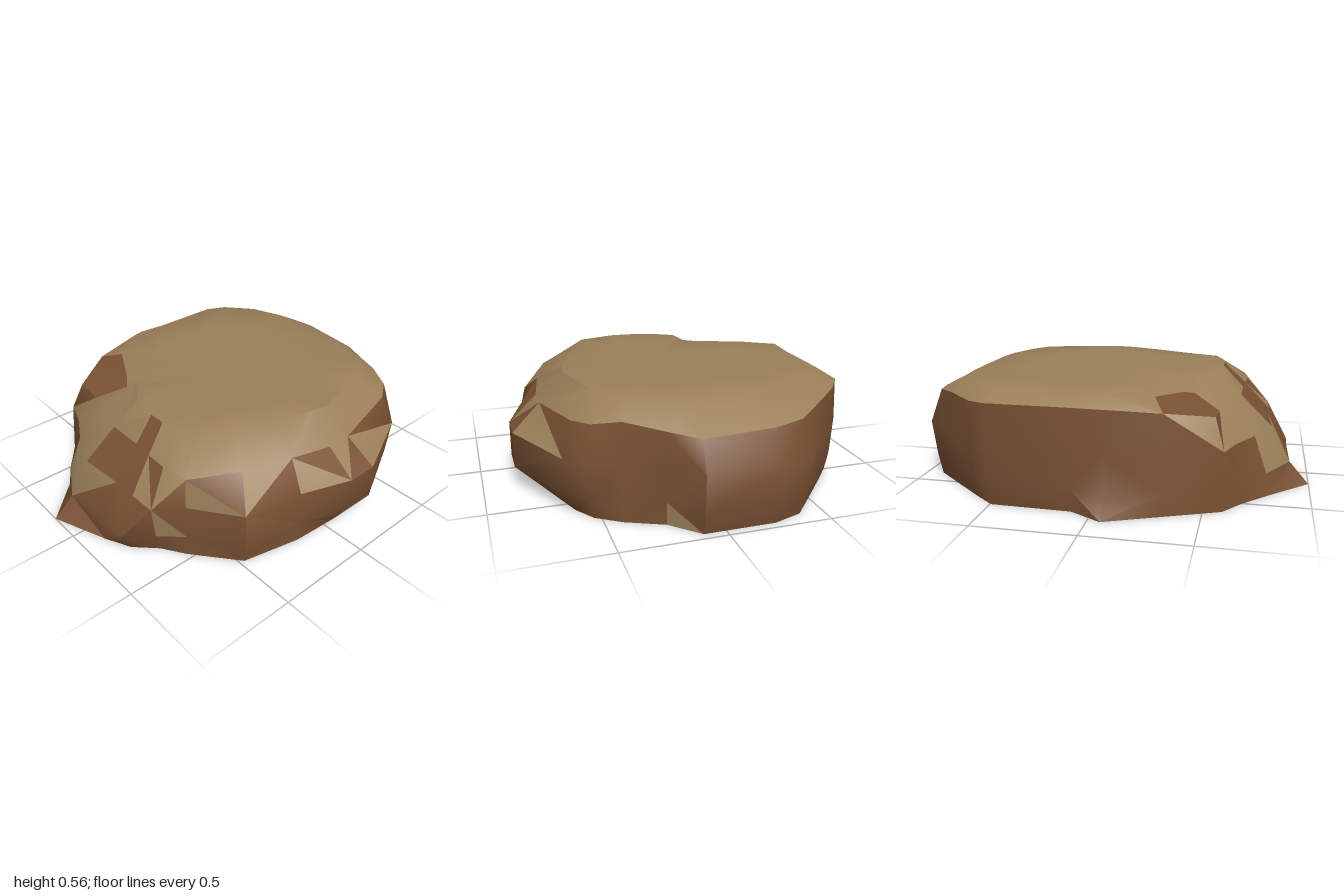
import * as THREE from 'three';
import { toCreasedNormals } from 'three/addons/utils/BufferGeometryUtils.js';

const TOP_Y = 0.555;

// Widest outline [x, z], from +x towards +z
const OUTLINE = [
  [0.99, 0.11], [0.85, 0.24], [0.76, 0.42], [0.71, 0.56], [0.63, 0.66],
  [0.24, 0.84], [0.08, 0.84], [-0.18, 0.75], [-0.5, 0.72], [-0.65, 0.47],
  [-0.78, 0.38], [-0.89, 0.27], [-0.89, 0.12], [-1, -0.17], [-0.8, -0.37],
  [-0.67, -0.51], [-0.59, -0.62], [-0.33, -0.73], [-0.06, -0.845], [0.1, -0.78],
  [0.51, -0.77], [0.61, -0.7], [0.77, -0.56], [0.95, -0.4], [1, -0.25],
];

// Scale of the outline at the foot, lower side, upper side, shoulder and top rim
const SCALES = [
  [0.97, 0.98, 0.99, 0.95, 0.91, 0.86, 0.91, 1, 0.95, 1, 0.93, 0.93, 1,
    1, 1, 1, 1, 1, 1, 0.97, 0.97, 0.96, 0.96, 0.96, 0.96],
  [1, 0.98, 0.99, 0.98, 0.98, 1, 1, 1, 1, 1, 0.97, 1, 1,
    0.9, 0.98, 1, 1, 1, 0.92, 0.98, 0.99, 0.99, 0.99, 0.98, 0.99],
  [1, 0.98, 1, 1, 1, 1, 1, 1, 0.97, 1, 1, 0.88, 0.88,
    0.8, 0.9, 0.95, 1, 1, 0.92, 1, 1, 1, 1, 1, 1],
  [0.93, 0.99, 0.98, 0.96, 0.92, 0.83, 0.83, 0.88, 0.82, 0.98, 0.84, 0.73, 0.72,
    0.64, 0.75, 0.82, 0.92, 0.97, 0.91, 0.98, 0.99, 0.99, 0.98, 0.94, 0.93],
  [0.73, 0.83, 0.85, 0.81, 0.75, 0.68, 0.66, 0.66, 0.58, 0.74, 0.65, 0.6, 0.6,
    0.5, 0.54, 0.62, 0.62, 0.8, 0.82, 0.87, 0.88, 0.9, 0.87, 0.77, 0.73],
];

// The shoulder rises and falls around the rock
const SHOULDER_Y = [
  0.43, 0.45, 0.48, 0.46, 0.45, 0.42, 0.42, 0.44, 0.45, 0.44, 0.44, 0.44, 0.44,
  0.44, 0.44, 0.43, 0.44, 0.48, 0.5, 0.5, 0.5, 0.49, 0.49, 0.46, 0.45,
];
// The top rim dips at the back left corner
const RIM_DIP = { 15: 0.065, 16: 0.05, 17: 0.03 };

// Lighter facets scattered on the sides: band * 100 + column
const PALE_LOWER = new Set([0, 109, 113, 204, 206, 208, 210, 213, 214, 215]);
const PALE_UPPER = new Set([112, 113, 205, 207, 209, 213, 214, 216]);
// Columns where the shoulder stays brown
const BROWN_SHOULDER = new Set([11, 15, 16]);

function point(level, column, inset = 1) {
  const i = column % OUTLINE.length;
  const scale = SCALES[level][i] * inset;
  const y = [0, 0.11, 0.29, SHOULDER_Y[i], TOP_Y - (RIM_DIP[i] ?? 0)][level];
  return [OUTLINE[i][0] * scale, y, OUTLINE[i][1] * scale];
}

// Point on the level part of the top, inside the rim
function innerPoint(column) {
  const [x, , z] = point(SCALES.length - 1, column, 0.7);
  return [x, TOP_Y, z];
}

function surface(name, triangles, color) {
  const geometry = new THREE.BufferGeometry();
  geometry.setAttribute('position', new THREE.Float32BufferAttribute(triangles.flat(2), 3));
  const mesh = new THREE.Mesh(toCreasedNormals(geometry, 0.7), new THREE.MeshStandardMaterial({ color }));
  mesh.name = name;
  return mesh;
}

export function createModel() {
  const pale = [], brown = [], base = [];
  const top = SCALES.length - 1;

  for (let i = 0; i < OUTLINE.length; i++) {
    // Flat top, with an inner ring so the rim blends softly into it
    const rimA = point(top, i), rimB = point(top, i + 1);
    const innerA = innerPoint(i), innerB = innerPoint(i + 1);
    pale.push([rimA, innerA, rimB], [rimB, innerA, innerB], [[0, TOP_Y, 0], innerB, innerA]);

    // Flat underside
    base.push([[0, 0, 0], point(0, i), point(0, i + 1)]);

    // Sides, with the shoulder band and a few facets in the paler stone
    for (let band = 0; band < top; band++) {
      const a = point(band, i), b = point(band, i + 1);
      const c = point(band + 1, i), d = point(band + 1, i + 1);
      const paleShoulder = band === top - 1 && !BROWN_SHOULDER.has(i);
      const key = band * 100 + i;
      // Alternate the diagonal for an irregular, chipped look
      const [first, second] = (i + band) % 2
        ? [[a, c, b], [b, c, d]]
        : [[a, d, b], [a, c, d]];
      (paleShoulder || PALE_LOWER.has(key) ? pale : brown).push(first);
      (paleShoulder || PALE_UPPER.has(key) ? pale : brown).push(second);
    }
  }

  const rock = new THREE.Group();
  rock.name = 'flatRock';
  rock.add(
    surface('rockTop', pale, 0x9b8059),
    surface('rockSides', brown, 0x7a5233),
    surface('rockBase', base, 0x664529),
  );
  return rock;
}
